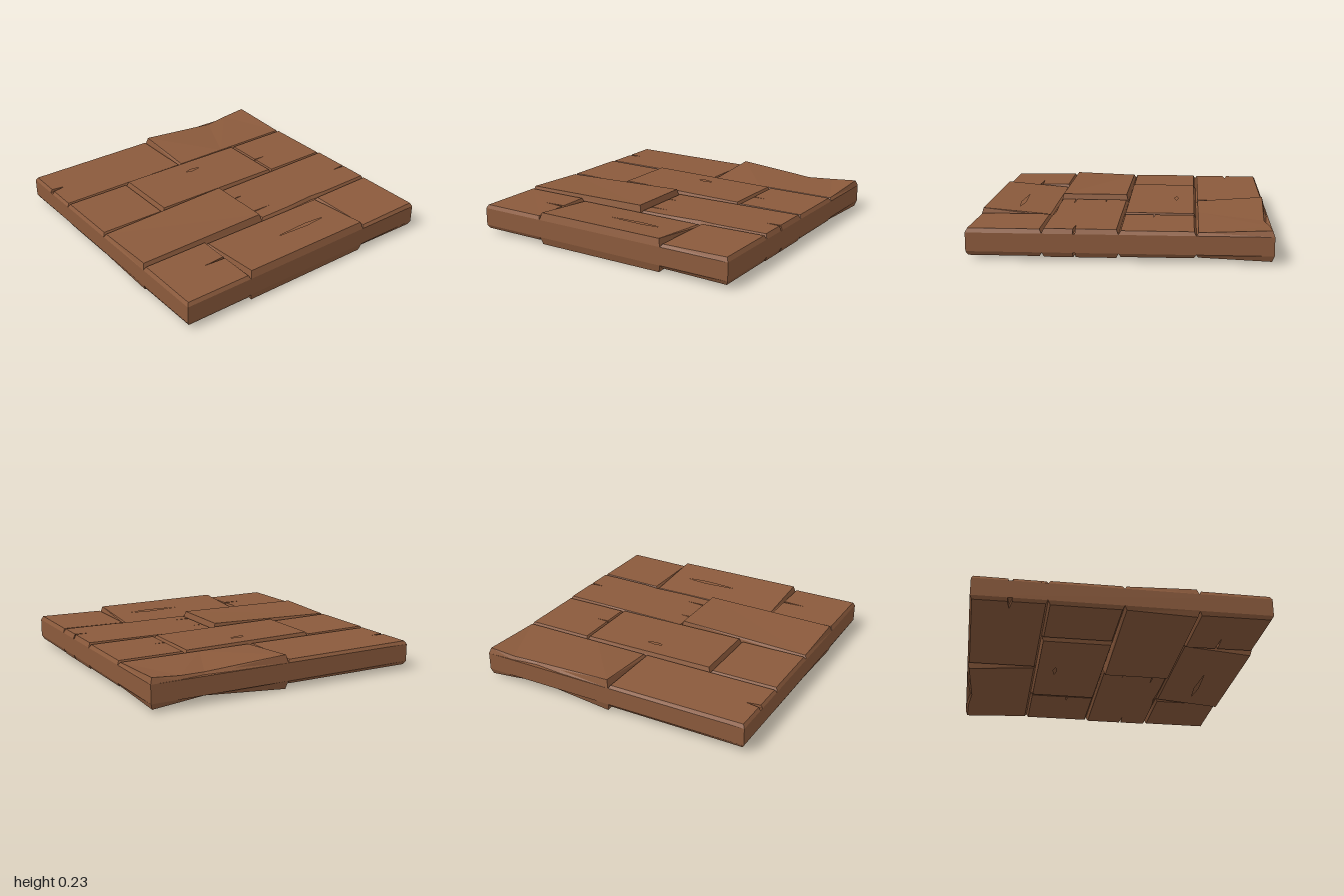
import * as THREE from 'three';

const CORE_TOP = 0.18, MID = 0.1175, BEVEL = 0.014;

// Each plank: x/z range, corner heights [backLowX, backHighX, frontLowX, frontHighX],
// end splits [x, tip z, width], inner cracks [x, z0, zMid, z1, width], chipped side points [x, z].
const PLANKS = [
  { x: [-1, -0.5], z: [-1, 0], h: [0.22, 0.2, 0.235, 0.2], sag: 0.033,
    low: [[-0.995, -0.8], [-0.97, -0.61], [-0.99, -0.4]], high: [[-0.5, -0.8], [-0.5, -0.6], [-0.5, -0.4]] },
  { x: [-1, -0.5], z: [0, 1], h: [0.2, 0.2, 0.203, 0.2], front: [[-0.745, 0.9, 0.032]] },
  { x: [-0.5, 0], z: [-1, -0.5], h: [0.205, 0.205, 0.205, 0.205], front: [[-0.21, -0.6, 0.01]] },
  { x: [-0.5, 0], z: [-0.5, 0.5], h: [0.21, 0.212, 0.22, 0.22], cracks: [[-0.365, -0.08, 0, 0.05, 0.03]] },
  { x: [-0.5, 0], z: [0.5, 1], h: [0.202, 0.202, 0.205, 0.205] },
  { x: [0, 0.5], z: [-1, 0], h: [0.212, 0.212, 0.2, 0.2], back: [[0.29, -0.88, 0.016]],
    front: [[0.155, -0.08, 0.01], [0.395, -0.155, 0.012]], high: [[0.5, -0.6], [0.487, -0.48], [0.5, -0.25]] },
  { x: [0, 0.5], z: [0, 1], h: [0.235, 0.235, 0.205, 0.222] },
  { x: [0.5, 1], z: [-1, -0.5], h: [0.208, 0.208, 0.2, 0.2] },
  { x: [0.5, 1], z: [-0.5, 0.5], h: [0.192, 0.232, 0.192, 0.232], cracks: [[0.755, -0.35, -0.19, 0.07, 0.032]] },
  { x: [0.5, 1], z: [0.5, 1], h: [0.21, 0.205, 0.208, 0.205], back: [[0.73, 0.67, 0.02]] },
];

// Outline with V splits at the ends and optional chips along the sides.
function plankShape({ x, z, back = [], front = [], low = [], high = [], cracks = [] }) {
  const split = (list, edge) => list.flatMap(([sx, tip, w]) =>
    [[sx - w / 2, edge], [sx, tip], [sx + w / 2, edge]]);
  const outline = [
    [x[0], z[0]], ...split(back, z[0]), [x[1], z[0]], ...high,
    [x[1], z[1]], ...split(front, z[1]).reverse(), [x[0], z[1]], ...[...low].reverse(),
  ];
  const toPoint = ([px, pz]) => new THREE.Vector2(px, -pz);
  const shape = new THREE.Shape(outline.map(toPoint));
  for (const [cx, z0, zm, z1, w] of cracks) {
    const hole = [[cx, z0], [cx + w / 2, zm], [cx, z1], [cx - w / 2, zm]];
    shape.holes.push(new THREE.Path(hole.map(toPoint)));
  }
  return shape;
}

// Extrude the outline, then bevel and tilt its upper face.
function plankGeometry(plank) {
  const { x, z, h, sag = 0 } = plank;
  const geo = new THREE.ExtrudeGeometry(plankShape(plank), { depth: 1, bevelEnabled: false });
  geo.rotateX(-Math.PI / 2);
  const pos = geo.attributes.position;
  const inset = (v, [a, b]) => (a + b) / 2 + (v - (a + b) / 2) * (1 - 2 * BEVEL / (b - a));
  for (let i = 0; i < pos.count; i++) {
    const px = pos.getX(i), pz = pos.getZ(i);
    if (pos.getY(i) < 0.5) {
      pos.setY(i, CORE_TOP);
      continue;
    }
    const u = (px - x[0]) / (x[1] - x[0]), v = (pz - z[0]) / (z[1] - z[0]);
    const height = (h[0] * (1 - u) + h[1] * u) * (1 - v) + (h[2] * (1 - u) + h[3] * u) * v;
    const dip = sag * Math.sin(Math.PI * v) * (1 - u);
    pos.setXYZ(i, inset(px, x), height - dip, inset(pz, z));
  }
  geo.computeVertexNormals();
  return geo;
}

// Mirror through the middle of the slab, keeping faces outward.
function mirrored(source) {
  const geo = source.clone(), from = source.attributes.position, to = geo.attributes.position;
  for (let i = 0; i < from.count; i++) {
    const j = i % 3 === 1 ? i + 1 : i % 3 === 2 ? i - 1 : i;
    to.setXYZ(i, from.getX(j), 2 * MID - from.getY(j), from.getZ(j));
  }
  geo.computeVertexNormals();
  return geo;
}

export function createModel() {
  const model = new THREE.Group();
  model.name = 'plankFloorTile';
  const wood = new THREE.MeshStandardMaterial({ color: 0x8b5a3c });
  wood.name = 'brownWood';
  const add = (name, geo) => {
    const mesh = new THREE.Mesh(geo, wood);
    mesh.name = name;
    model.add(mesh);
    return mesh;
  };

  // Solid slab between the two plank layers
  add('core', new THREE.BoxGeometry(2, 2 * (CORE_TOP - MID), 2)).position.y = MID;

  // Staggered planks on both faces
  PLANKS.forEach((plank, i) => {
    const geo = plankGeometry(plank);
    add(`topPlank${i + 1}`, geo);
    add(`bottomPlank${i + 1}`, mirrored(geo));
  });
  return model;
}
